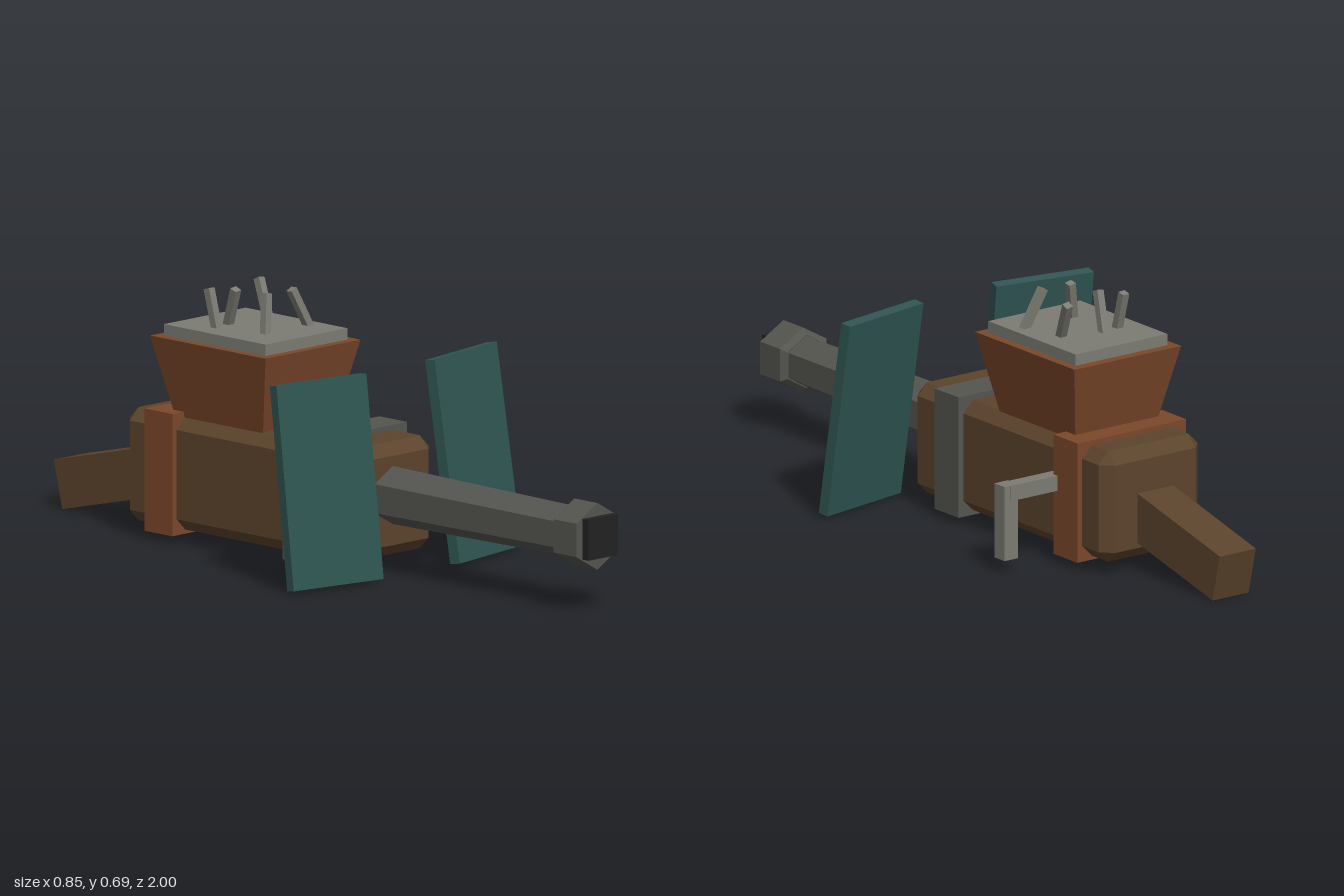
import * as THREE from 'three';
import { ConvexGeometry } from 'three/addons/geometries/ConvexGeometry.js';

const mat = (name, color) => {
  const m = new THREE.MeshStandardMaterial({ color });
  m.name = name;
  return m;
};

export function createModel() {
  const brown = mat('brown wood', 0x5c442c);
  const rust = mat('rusty copper', 0x7c482b);
  const teal = mat('teal plate', 0x2f5552);
  const steel = mat('dark steel', 0x555550);
  const scrap = mat('light steel', 0x7c7c74);
  const black = mat('black', 0x222222);

  const model = new THREE.Group();

  function add(name, geometry, material, x, y, z) {
    const mesh = new THREE.Mesh(geometry, material);
    mesh.name = name;
    mesh.position.set(x, y, z);
    model.add(mesh);
    return mesh;
  }
  const box = (w, h, d) => new THREE.BoxGeometry(w, h, d);

  // faceted cylinder with hard edges
  function prism(rTop, rBottom, height, sides) {
    const g = new THREE.CylinderGeometry(rTop, rBottom, height, sides).toNonIndexed();
    g.computeVertexNormals();
    return g;
  }

  // box with every edge and corner cut by c
  function chamferBox(w, h, d, c) {
    const points = [];
    for (const sx of [-1, 1]) for (const sy of [-1, 1]) for (const sz of [-1, 1])
      for (let axis = 0; axis < 3; axis++) {
        const inset = [c, c, c];
        inset[axis] = 0;
        points.push(new THREE.Vector3(
          sx * (w / 2 - inset[0]), sy * (h / 2 - inset[1]), sz * (d / 2 - inset[2])));
      }
    return new ConvexGeometry(points);
  }

  // body with two bands around it
  add('body', chamferBox(0.33, 0.305, 0.85, 0.032), brown, 0, 0.192, -0.213);
  add('frontBand', box(0.362, 0.333, 0.104), steel, 0, 0.193, 0.033);
  add('rearBand', box(0.362, 0.33, 0.104), rust, 0, 0.193, -0.483);

  // stock sloping down at the back
  add('stock', box(0.12, 0.133, 0.4), brown, 0, 0.118, -0.786).rotation.x = -0.24;

  // six-sided barrel, muzzle and bore
  const hex = (rFront, rBack, length) => prism(rFront, rBack, length, 6).rotateX(Math.PI / 2);
  add('barrel', hex(0.07, 0.079, 0.74), steel, 0, 0.207, 0.52);
  add('muzzleCollar', hex(0.09, 0.074, 0.014), steel, 0, 0.207, 0.885);
  add('muzzle', hex(0.09, 0.09, 0.086), steel, 0, 0.207, 0.935);
  add('bore', box(0.11, 0.11, 0.1), black, 0, 0.207, 0.95);

  // flared hopper and its lid of scrap
  const hopper = prism(Math.SQRT1_2, 0.76 * Math.SQRT1_2, 1, 4)
    .rotateY(Math.PI / 4).scale(0.355, 0.217, 0.432);
  add('hopper', hopper, rust, 0, 0.4485, -0.302);
  add('scrapBed', box(0.306, 0.05, 0.38), scrap, 0, 0.563, -0.301);

  // scrap rods: foot x, foot z, tip x, tip z
  const rods = [
    [-0.085, -0.36, -0.085, -0.39],
    [-0.03, -0.375, -0.045, -0.33],
    [0.08, -0.33, 0.102, -0.39],
    [-0.052, -0.212, -0.026, -0.234],
    [0.115, -0.215, 0.06, -0.227],
  ];
  for (const [fx, fz, tx, tz] of rods) {
    const foot = new THREE.Vector3(fx, 0.58, fz);
    const tip = new THREE.Vector3(tx, 0.69, tz);
    const mid = foot.clone().lerp(tip, 0.5);
    const rod = add('scrapRod', box(0.021, foot.distanceTo(tip), 0.021), scrap, mid.x, mid.y, mid.z);
    rod.quaternion.setFromUnitVectors(new THREE.Vector3(0, 1, 0), tip.sub(foot).normalize());
  }

  // pair of shields, leaning and swept back
  for (const side of [1, -1]) {
    const shield = add(side > 0 ? 'leftShield' : 'rightShield',
      box(0.289, 0.547, 0.031), teal, side * 0.274, 0.285, 0.24);
    shield.rotation.set(-0.148, side * 0.18, 0, 'YXZ');
  }

  // crank on the left side
  add('crankArm', box(0.19, 0.042, 0.042), scrap, 0.24, 0.227, -0.427);
  add('crankHandle', box(0.044, 0.205, 0.044), scrap, 0.333, 0.146, -0.424);

  return model;
}
